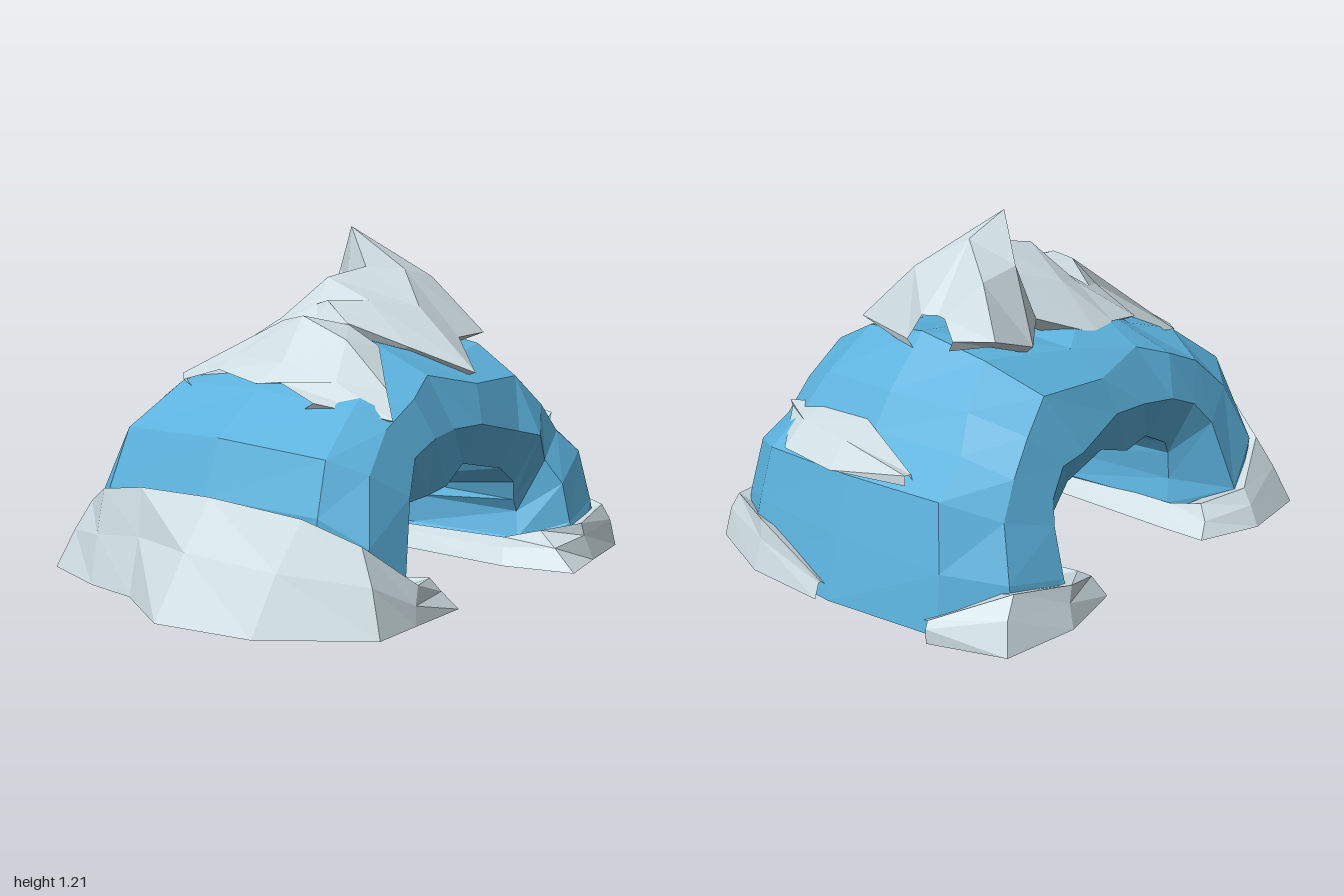
import * as THREE from 'three';

const blueRock = new THREE.MeshStandardMaterial({ name: 'blueRock', color: 0x5bb1dc, flatShading: true, side: THREE.DoubleSide });
const paleSnow = new THREE.MeshStandardMaterial({ name: 'paleSnow', color: 0xcddce1, flatShading: true, side: THREE.DoubleSide });

const V = (x, y, z) => new THREE.Vector3(x, y, z);
const mix = (a, b, t) => a.clone().lerp(b, t);

// Small seeded jitter for the faceted rock
let seed = 7;
const rnd = (s) => {
  seed = (seed * 16807) % 2147483647;
  return (seed / 2147483647 - 0.5) * 2 * s;
};
const rough = (p, s) => (p.y < 0.01 ? p : p.add(V(rnd(s), rnd(s), rnd(s))));

// Skin a list of cross-sections; closed joins each section into a ring
function loft(name, rows, material, closed) {
  const out = [];
  const tri = (...ps) => ps.forEach((p) => out.push(p.x, p.y, p.z));
  const n = rows[0].length;
  for (let i = 0; i < rows.length - 1; i++) {
    for (let j = 0; j < (closed ? n : n - 1); j++) {
      const k = (j + 1) % n;
      tri(rows[i][j], rows[i][k], rows[i + 1][k]);
      tri(rows[i][j], rows[i + 1][k], rows[i + 1][j]);
    }
  }
  const g = new THREE.BufferGeometry();
  g.setAttribute('position', new THREE.Float32BufferAttribute(out, 3));
  g.computeVertexNormals();
  const mesh = new THREE.Mesh(g, material);
  mesh.name = name;
  return mesh;
}

// Hollow arch shell: outer x,y | rim x,y | inner x,y | outer half depth, rim half depth
function archBody() {
  const stations = [
    [-0.72, 0, -0.46, 0, -0.30, 0, 0.46, 0.66],
    [-0.72, 0.18, -0.455, 0.06, -0.28, 0.07, 0.46, 0.65],
    [-0.72, 0.36, -0.45, 0.13, -0.27, 0.14, 0.45, 0.64],
    [-0.65, 0.55, -0.36, 0.38, -0.28, 0.24, 0.44, 0.58],
    [-0.45, 0.69, -0.27, 0.48, -0.22, 0.31, 0.38, 0.55],
    [-0.25, 0.77, -0.16, 0.53, -0.12, 0.32, 0.33, 0.55],
    [-0.10, 0.87, -0.03, 0.54, -0.03, 0.31, 0.22, 0.53],
    [0.17, 0.78, 0.12, 0.54, 0.12, 0.38, 0.36, 0.52],
    [0.50, 0.82, 0.36, 0.49, 0.33, 0.33, 0.27, 0.54],
    [0.66, 0.65, 0.46, 0.47, 0.41, 0.26, 0.32, 0.55],
    [0.74, 0.53, 0.52, 0.38, 0.43, 0.21, 0.36, 0.56],
    [0.88, 0.42, 0.55, 0.28, 0.44, 0.16, 0.38, 0.59],
    [0.93, 0.22, 0.56, 0.14, 0.42, 0.08, 0.41, 0.64],
    [0.98, 0, 0.55, 0, 0.36, 0, 0.43, 0.68],
  ];
  const rows = stations.map(([ox, oy, rx, ry, ix, iy, zo, zr]) => {
    const O = V(ox, oy, 0), R = V(rx, ry, 0), I = V(ix, iy, 0);
    const side = (s) => [
      mix(O, R, 0.1).setZ(s * zo),
      mix(O, R, 0.44).setZ(s * (zo + (zr - zo) * 0.75)),
      R.clone().setZ(s * zr),
      mix(I, R, 0.12).setZ(s * 0.47),
    ].map((p) => rough(p, 0.014));
    return [O, ...side(1), rough(I, 0.025), ...side(-1.04).reverse()];
  });
  return loft('archBody', rows, blueRock, true);
}

// Summit snow: front edge, ridge and back edge of each column
function summitSnow() {
  const columns = [
    [-0.47, 0.67, 0.26, -0.46, 0.71, 0.0, -0.44, 0.69, -0.36],
    [-0.35, 0.62, 0.50, -0.38, 0.78, 0.05, -0.37, 0.70, -0.43],
    [-0.28, 0.71, 0.42, -0.27, 0.93, 0.05, -0.33, 0.82, -0.10],
    [-0.14, 0.83, 0.28, -0.13, 0.90, 0.0, -0.25, 0.76, -0.34],
    [-0.10, 0.90, 0.08, -0.09, 0.95, -0.04, -0.10, 0.78, -0.35],
    [0.03, 0.81, 0.28, 0.0, 1.04, -0.06, 0.0, 0.76, -0.37],
    [0.17, 0.72, 0.47, 0.17, 1.07, -0.02, 0.20, 0.84, -0.25],
    [0.31, 0.82, 0.30, 0.23, 1.21, -0.135, 0.35, 0.80, -0.36],
    [0.50, 0.82, 0.28, 0.37, 1.13, -0.10, 0.53, 0.86, -0.35],
    [0.55, 0.80, 0.02, 0.53, 0.90, -0.10, 0.57, 0.84, -0.20],
  ];
  const rows = columns.map((c) => {
    const F = V(c[0], c[1], c[2]), P = V(c[3], c[4], c[5]), B = V(c[6], c[7], c[8]);
    const under = (p) => mix(p, V(P.x, p.y, P.z), 0.25).add(V(0, -0.04, 0));
    const slope = (p) => rough(mix(p, P, 0.5).add(V(0, 0.035, 0)), 0.012);
    return [under(B), B, slope(B), P, slope(F), F, under(F)];
  });
  return loft('summitSnow', rows, paleSnow, false);
}

// Snow drift round a foot: top edge x,y,z and ground x,z for each step
function footSnow(name, steps, centre) {
  const rows = steps.map(([x, y, z, gx, gz]) => {
    const top = V(x, y, z), ground = V(gx, 0, gz);
    const middle = rough(mix(ground, top, 0.5).add(V(0, 0.012, 0)), 0.012);
    return [ground, middle, top, mix(top, centre, 0.12).setY(y - 0.03)];
  });
  return loft(name, rows, paleSnow, false);
}

// Snow lying on the ledge of the left flank
function ledgeSnow() {
  const spine = [
    [0.66, 0.50, 0.47, 0.67, 0.49, 0.47],
    [0.68, 0.555, 0.27, 0.87, 0.435, 0.30],
    [0.72, 0.555, 0.05, 0.905, 0.43, 0.05],
    [0.83, 0.47, -0.25, 0.86, 0.44, -0.25],
  ];
  const rows = spine.map(([ax, ay, az, bx, by, bz]) => {
    const a = V(ax, ay, az), b = V(bx, by, bz);
    return [a, mix(a, b, 0.5).add(V(0.015, 0.02, 0)), b, mix(a, b, 0.5).add(V(-0.03, -0.05, 0))].reverse();
  });
  return loft('ledgeSnow', rows, paleSnow, true);
}

export function createModel() {
  const model = new THREE.Group();
  model.name = 'snowyRockArch';
  model.add(archBody(), summitSnow(), ledgeSnow());

  const rightSteps = [
    [-0.28, 0.06, 0.0, -0.22, 0.0],
    [-0.28, 0.08, 0.48, -0.22, 0.50],
    [-0.29, 0.10, 0.61, -0.25, 0.70],
    [-0.45, 0.12, 0.68, -0.50, 0.71],
    [-0.64, 0.27, 0.60, -0.70, 0.72],
    [-0.73, 0.35, 0.43, -0.94, 0.40],
    [-0.74, 0.37, 0.04, -1.0, 0.04],
    [-0.735, 0.36, -0.28, -0.83, -0.25],
    [-0.73, 0.33, -0.47, -0.80, -0.47],
    [-0.64, 0.25, -0.63, -0.71, -0.75],
    [-0.44, 0.13, -0.71, -0.43, -0.78],
    [-0.28, 0.10, -0.63, -0.20, -0.69],
    [-0.27, 0.07, -0.50, -0.20, -0.52],
  ];
  rightSteps.push(rightSteps[0]);
  model.add(footSnow('rightFootSnow', rightSteps, V(-0.5, 0.1, 0)));

  // Runs from the front flank round the inside to the back flank
  model.add(footSnow('leftFootSnow', [
    [0.98, 0.06, 0.03, 1.0, 0.04],
    [0.94, 0.18, 0.36, 0.98, 0.36],
    [0.81, 0.16, 0.62, 0.85, 0.66],
    [0.56, 0.14, 0.68, 0.60, 0.71],
    [0.44, 0.12, 0.58, 0.38, 0.76],
    [0.41, 0.08, 0.44, 0.31, 0.50],
    [0.40, 0.07, 0.0, 0.32, 0.0],
    [0.41, 0.07, -0.45, 0.35, -0.48],
    [0.42, 0.09, -0.61, 0.36, -0.69],
    [0.58, 0.13, -0.71, 0.62, -0.75],
    [0.81, 0.17, -0.66, 0.90, -0.71],
    [0.97, 0.07, -0.44, 0.99, -0.45],
  ], V(0.66, 0.1, 0)));
  return model;
}
